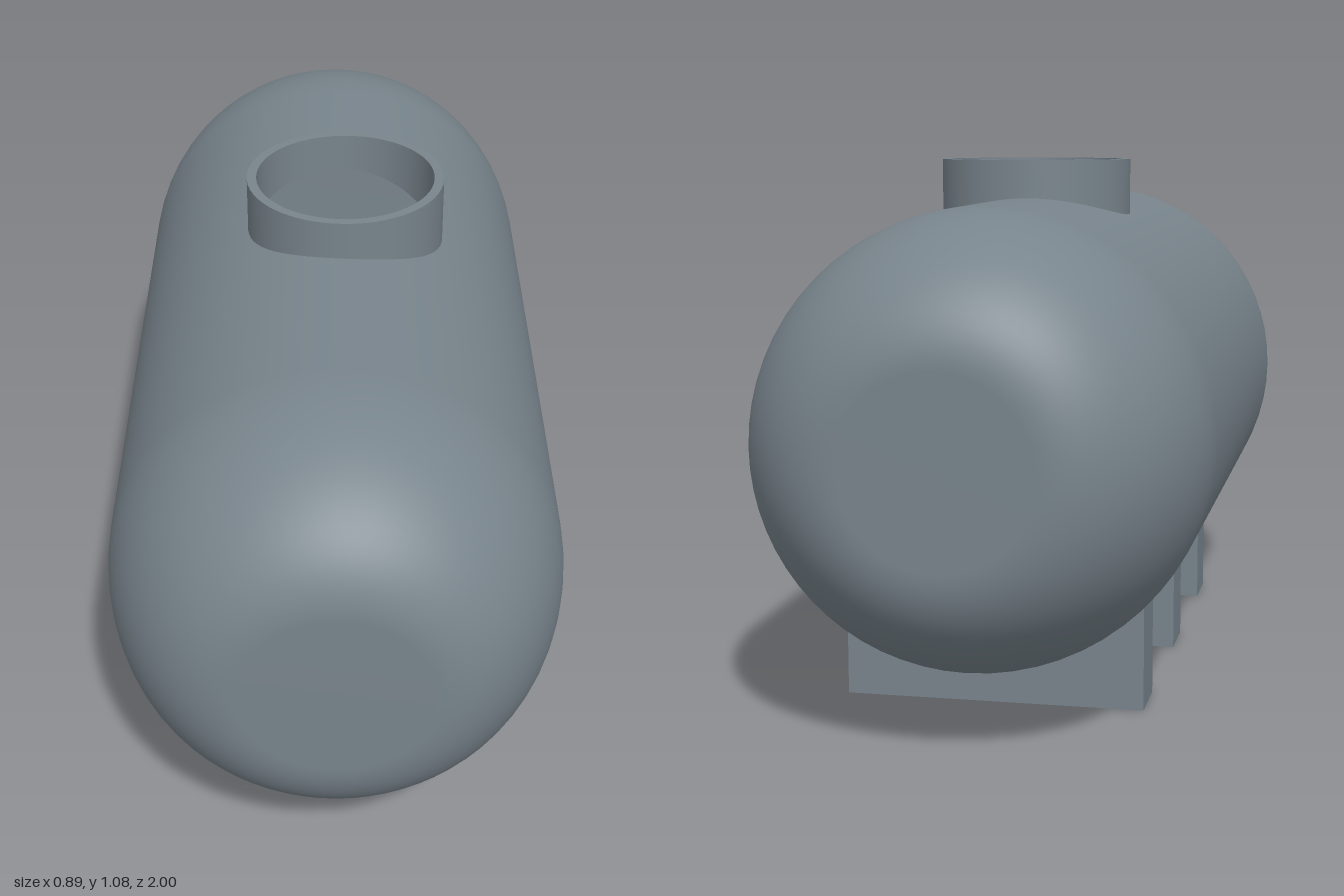
import * as THREE from 'three';

const R = 0.4465, CY = 0.5535;       // tank radius and axis height
const SEG = 64, HALF = 0.316;        // HALF: half length of the middle barrel section
const NX = 0.0215, NZ = -0.011;      // neck centre
const R_OUT = 0.207, R_IN = 0.187, NECK_TOP = 1.08 - CY;
const surfaceY = x => Math.sqrt(R * R - x * x);

// Rounded end with a flat disc, plus the barrel up to the middle section
function endGeometry() {
  const flat = 0.18, start = 0.6, pts = [new THREE.Vector2(R, HALF)];
  for (let i = 0; i <= 20; i++) {
    const a = i / 20 * Math.PI / 2;
    pts.push(new THREE.Vector2(flat + (R - flat) * Math.cos(a), start + (1 - start) * Math.sin(a)));
  }
  pts.push(new THREE.Vector2(0, 1));
  return new THREE.LatheGeometry(pts, SEG).rotateX(Math.PI / 2);
}

// Top quarter of the middle section, with a round opening under the neck
function openingPatch() {
  const corners = [[1, 1], [-1, 1], [-1, -1], [1, -1]];
  const rings = 8, side = SEG / 4, pos = [], nor = [], idx = [];
  for (let j = 0; j <= rings; j++) {
    for (let k = 0; k <= SEG; k++) {
      const a = Math.PI / 4 + k / SEG * Math.PI * 2;
      const s = Math.floor(k / side) % 4, t = (k % side) / side;
      const c0 = corners[s], c1 = corners[(s + 1) % 4], f = j / rings;
      const theta = THREE.MathUtils.lerp(
        Math.asin((NX + R_IN * Math.cos(a)) / R),
        THREE.MathUtils.lerp(c0[0], c1[0], t) * Math.PI / 4, f);
      const z = THREE.MathUtils.lerp(
        NZ + R_IN * Math.sin(a),
        THREE.MathUtils.lerp(c0[1], c1[1], t) * HALF, f);
      pos.push(R * Math.sin(theta), R * Math.cos(theta), z);
      nor.push(Math.sin(theta), Math.cos(theta), 0);
      if (j < rings && k < SEG) {
        const p = j * (SEG + 1) + k, q = p + SEG + 1;
        idx.push(p, p + 1, q, p + 1, q + 1, q);
      }
    }
  }
  const g = new THREE.BufferGeometry();
  g.setAttribute('position', new THREE.Float32BufferAttribute(pos, 3));
  g.setAttribute('normal', new THREE.Float32BufferAttribute(nor, 3));
  g.setIndex(idx);
  return g;
}

// Upright wall whose lower edge follows the curve of the tank
function neckWall(radius) {
  const g = new THREE.CylinderGeometry(radius, radius, 1, SEG, 1, true).translate(NX, 0, NZ);
  const p = g.attributes.position;
  for (let i = 0; i < p.count; i++) p.setY(i, p.getY(i) > 0 ? NECK_TOP : surfaceY(p.getX(i)));
  return g;
}

// Support block with a cradle cut to the tank radius
function saddleGeometry() {
  const left = -0.3, right = 0.31, depth = 0.125;
  const a0 = -Math.acos(right / R), a1 = -Math.PI + Math.acos(-left / R);
  const shape = new THREE.Shape();
  shape.moveTo(left, 0);
  shape.lineTo(right, 0);
  for (let i = 0; i <= 32; i++) {
    const a = THREE.MathUtils.lerp(a0, a1, i / 32);
    shape.lineTo(R * Math.cos(a), CY + R * Math.sin(a));
  }
  shape.closePath();
  return new THREE.ExtrudeGeometry(shape, { depth, bevelEnabled: false }).translate(0, 0, -depth / 2);
}

export function createModel() {
  const model = new THREE.Group();
  model.name = 'storageTank';
  const steel = new THREE.MeshStandardMaterial({ color: 0x78848c, side: THREE.DoubleSide });
  steel.name = 'slateGrey';
  const add = (parent, geometry, name) => {
    const mesh = new THREE.Mesh(geometry, steel);
    mesh.name = name;
    parent.add(mesh);
    return mesh;
  };

  // Tank shell
  const tank = new THREE.Group();
  tank.name = 'tank';
  tank.position.y = CY;
  model.add(tank);
  add(tank, endGeometry(), 'frontEnd');
  add(tank, endGeometry().rotateY(Math.PI), 'backEnd');
  const barrel = [new THREE.Vector2(R, -HALF), new THREE.Vector2(R, HALF)];
  add(tank, new THREE.LatheGeometry(barrel, SEG * 3 / 4, -Math.PI * 3 / 4, Math.PI * 3 / 2)
    .rotateX(Math.PI / 2), 'middleBarrel');
  add(tank, openingPatch(), 'barrelTop');

  // Open filler neck
  const neck = new THREE.Group();
  neck.name = 'neck';
  tank.add(neck);
  add(neck, neckWall(R_OUT), 'neckOuterWall');
  add(neck, neckWall(R_IN), 'neckInnerWall');
  add(neck, new THREE.RingGeometry(R_IN, R_OUT, SEG).rotateX(-Math.PI / 2)
    .translate(NX, NECK_TOP, NZ), 'neckRim');

  // Three support saddles
  const saddle = saddleGeometry();
  [0.458, -0.003, -0.463].forEach((z, i) => {
    add(model, saddle, ['frontSaddle', 'middleSaddle', 'backSaddle'][i]).position.z = z;
  });
  return model;
}
